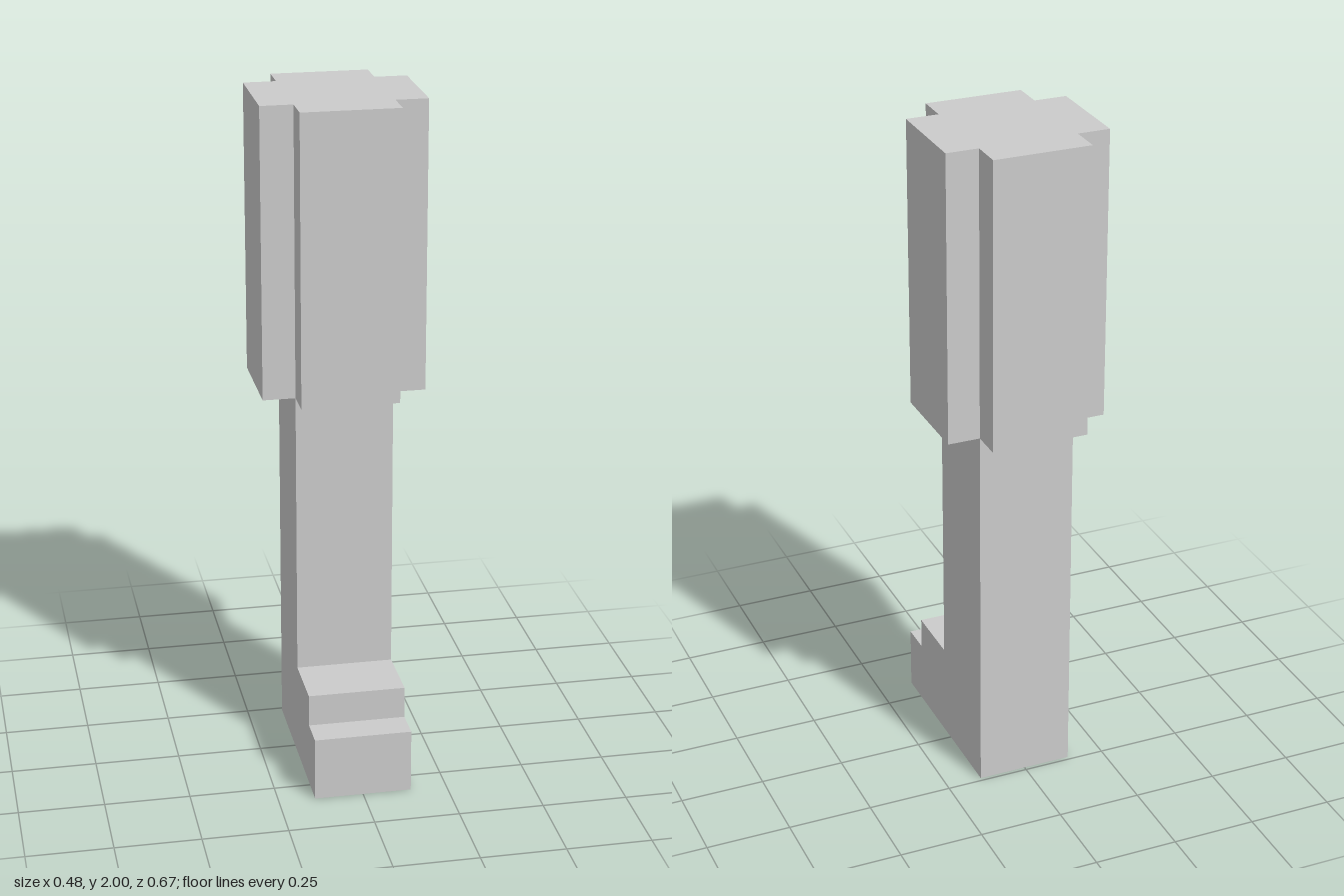
import * as THREE from 'three';

// One block is 1/21 of the full height
const U = 2 / 21;

function extrude(points, depth) {
  const shape = new THREE.Shape(points.map(([x, y]) => new THREE.Vector2(x * U, y * U)));
  return new THREE.ExtrudeGeometry(shape, { depth: depth * U, bevelEnabled: false });
}

export function createModel() {
  const group = new THREE.Group();
  group.name = 'leg';
  const material = new THREE.MeshStandardMaterial({ color: 0xcccccc, flatShading: true });
  const add = (name, geometry) => {
    const mesh = new THREE.Mesh(geometry, material);
    mesh.name = name;
    group.add(mesh);
  };

  // Shin and stepped foot: side profile (z, y) extruded across x
  const shin = extrude([
    [-2.5, 0], [3.5, 0], [3.5, 2], [2.5, 2], [2.5, 3], [0.5, 3], [0.5, 12], [-2.5, 12],
  ], 3);
  shin.rotateY(-Math.PI / 2).translate(1.5 * U, 0, 0);
  add('shinAndFoot', shin);

  // Thigh: plus-shaped plan extruded upward, centred over the shin
  const a = 1.5, b = 2.5;
  const thigh = extrude([
    [-a, -b], [a, -b], [a, -a], [b, -a], [b, a], [a, a],
    [a, b], [-a, b], [-a, a], [-b, a], [-b, -a], [-a, -a],
  ], 9);
  thigh.rotateX(-Math.PI / 2).translate(0, 12 * U, -U);
  add('thigh', thigh);

  return group;
}
